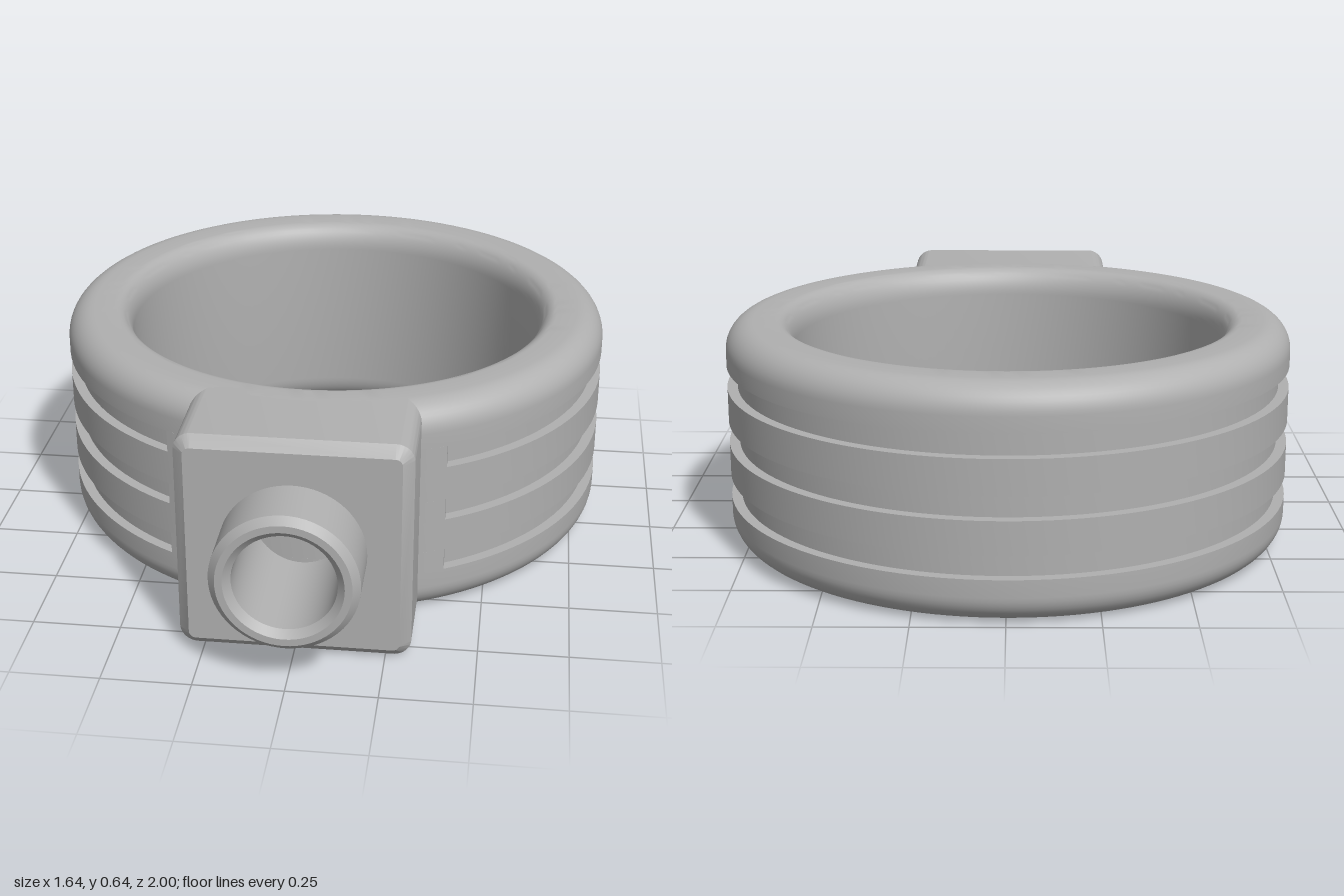
import * as THREE from 'three';
import { toCreasedNormals } from 'three/addons/utils/BufferGeometryUtils.js';

const HEIGHT = 0.645, OUTER = 0.82, INNER = 0.625, GROOVE_R = 0.79;
const RING_Z = -0.18, MID_Y = HEIGHT / 2;
const GROOVES = [[0.13, 0.195], [0.29, 0.355], [0.455, 0.52]];

export function createModel() {
  const group = new THREE.Group();
  const grey = new THREE.MeshStandardMaterial({ color: 0xb0b0b0 });
  grey.name = 'grey';

  const add = (name, geometry, x = 0, y = 0, z = 0) => {
    const mesh = new THREE.Mesh(toCreasedNormals(geometry, 0.5), grey);
    mesh.name = name;
    mesh.position.set(x, y, z);
    group.add(mesh);
  };

  // Ring: rounded cross-section with three grooves, revolved
  const profile = [];
  const corner = (cx, cy, rx, ry, from) => {
    for (let i = 0; i <= 10; i++) {
      const a = from + (i / 10) * Math.PI / 2;
      profile.push(new THREE.Vector2(cx + rx * Math.cos(a), cy + ry * Math.sin(a)));
    }
  };
  corner(INNER + 0.055, 0.08, 0.055, 0.08, Math.PI);
  corner(OUTER - 0.08, 0.08, 0.08, 0.08, -Math.PI / 2);
  for (const [low, high] of GROOVES) {
    for (const [r, y] of [[OUTER, low], [GROOVE_R, low], [GROOVE_R, high], [OUTER, high]]) {
      profile.push(new THREE.Vector2(r, y));
    }
  }
  corner(OUTER - 0.08, HEIGHT - 0.08, 0.08, 0.08, 0);
  corner(INNER + 0.055, HEIGHT - 0.08, 0.055, 0.08, Math.PI / 2);
  profile.push(profile[0].clone());
  add('ring', new THREE.LatheGeometry(profile, 128), 0, 0, RING_Z);

  // Solid pieces that end the grooves beside the front block
  const half = Math.asin(0.39 / OUTER);
  const filler = new THREE.Shape();
  filler.absarc(0, 0, OUTER, Math.PI / 2 - half, Math.PI / 2 + half, false);
  filler.lineTo(-0.39, 0.66);
  filler.lineTo(0.39, 0.66);
  for (const [low, high] of GROOVES) {
    const geometry = new THREE.ExtrudeGeometry(filler, {
      depth: high - low, bevelEnabled: false, curveSegments: 32,
    });
    geometry.rotateX(Math.PI / 2);
    add('grooveEnd', geometry, 0, high, RING_Z);
  }

  // Front block: rounded rectangle, chamfered, bored through
  const w = 0.32, h = MID_Y, r = 0.05;
  const block = new THREE.Shape();
  block.absarc(w - r, h - r, r, 0, Math.PI / 2);
  block.absarc(-w + r, h - r, r, Math.PI / 2, Math.PI);
  block.absarc(-w + r, -h + r, r, Math.PI, Math.PI * 1.5);
  block.absarc(w - r, -h + r, r, Math.PI * 1.5, Math.PI * 2);
  const bore = new THREE.Path();
  bore.absarc(0, 0, 0.15, 0, Math.PI * 2, true);
  block.holes.push(bore);
  add('frontBlock', new THREE.ExtrudeGeometry(block, {
    depth: 0.29, bevelThickness: 0.03, bevelSize: 0.03, bevelOffset: -0.03,
    bevelSegments: 1, curveSegments: 10,
  }), 0, MID_Y, 0.5);

  // Hollow nozzle with chamfered rim and a blind bore
  const nozzle = new THREE.LatheGeometry([
    [0.2, 0.8], [0.2, 0.98], [0.18, 1], [0.16, 1], [0.14, 0.98], [0.14, 0.52], [0, 0.52],
  ].map(([x, y]) => new THREE.Vector2(x, y)), 64);
  nozzle.rotateX(Math.PI / 2);
  add('nozzle', nozzle, 0, MID_Y, 0);

  return group;
}
